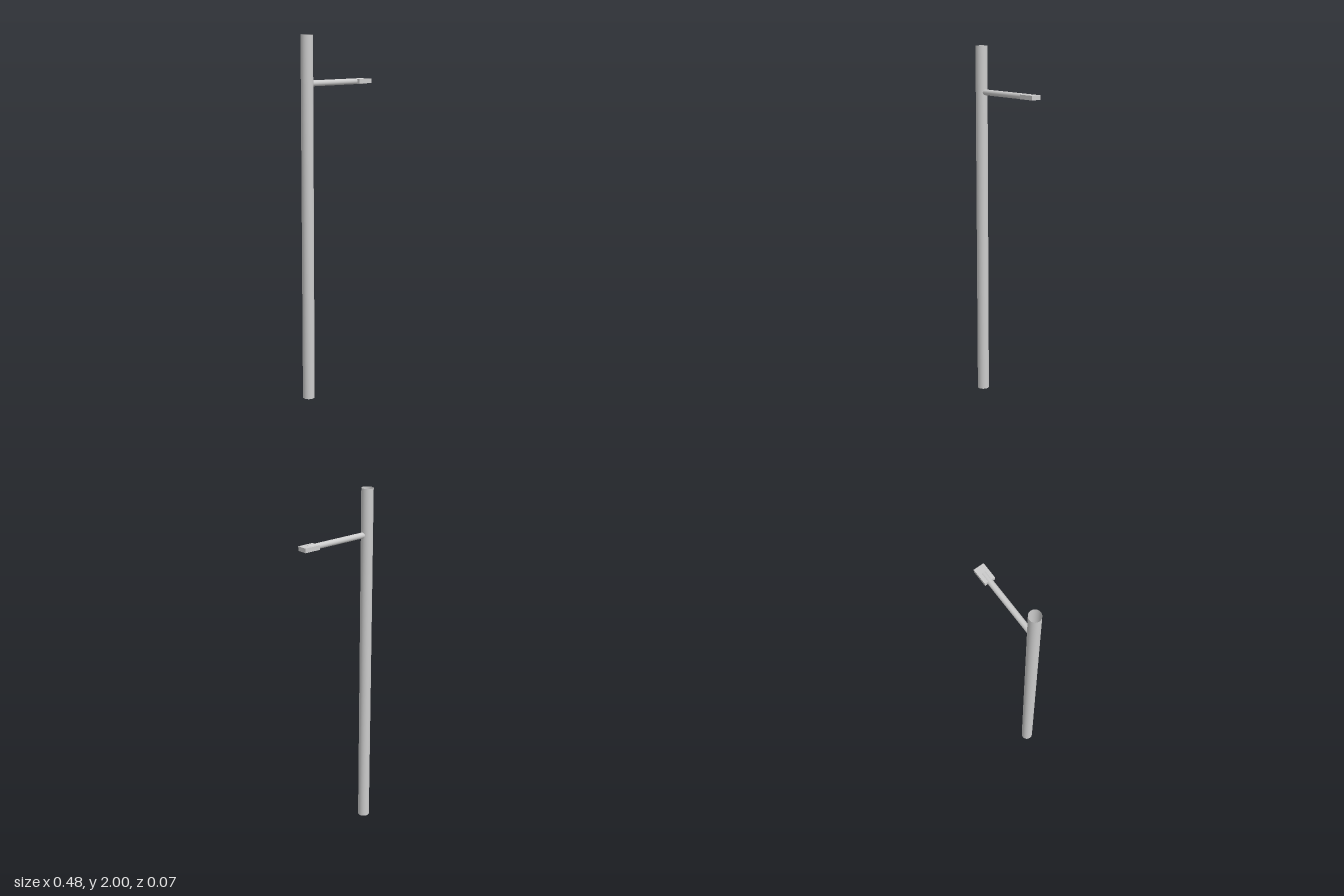
import * as THREE from 'three';

const POLE_X = -0.208, POLE_R = 0.033, ARM_Y = 1.747, ARM_END = 0.2;

export function createModel() {
  const group = new THREE.Group();
  const solid = new THREE.MeshStandardMaterial({ color: 0xcccccc });
  const thin = new THREE.MeshStandardMaterial({ color: 0xcccccc, side: THREE.DoubleSide });

  const add = (name, geometry, material, x, y) => {
    const mesh = new THREE.Mesh(geometry, material);
    mesh.name = name;
    mesh.position.set(x, y, 0);
    group.add(mesh);
    return mesh;
  };

  // Upright pole: a thin tube, open at both ends
  add('pole', new THREE.CylinderGeometry(POLE_R, POLE_R, 2, 32, 1, true), thin, POLE_X, 1);

  // Side arm: starts on the pole axis and runs into the lamp head
  const length = ARM_END - POLE_X;
  const arm = new THREE.CylinderGeometry(0.016, 0.016, length, 32, 1, true).rotateZ(Math.PI / 2);
  add('arm', arm, thin, POLE_X + length / 2, ARM_Y);

  // Flat lamp head at the tip of the arm
  add('lampHead', new THREE.BoxGeometry(0.094, 0.024, 0.06), solid, 0.194, ARM_Y);

  return group;
}
